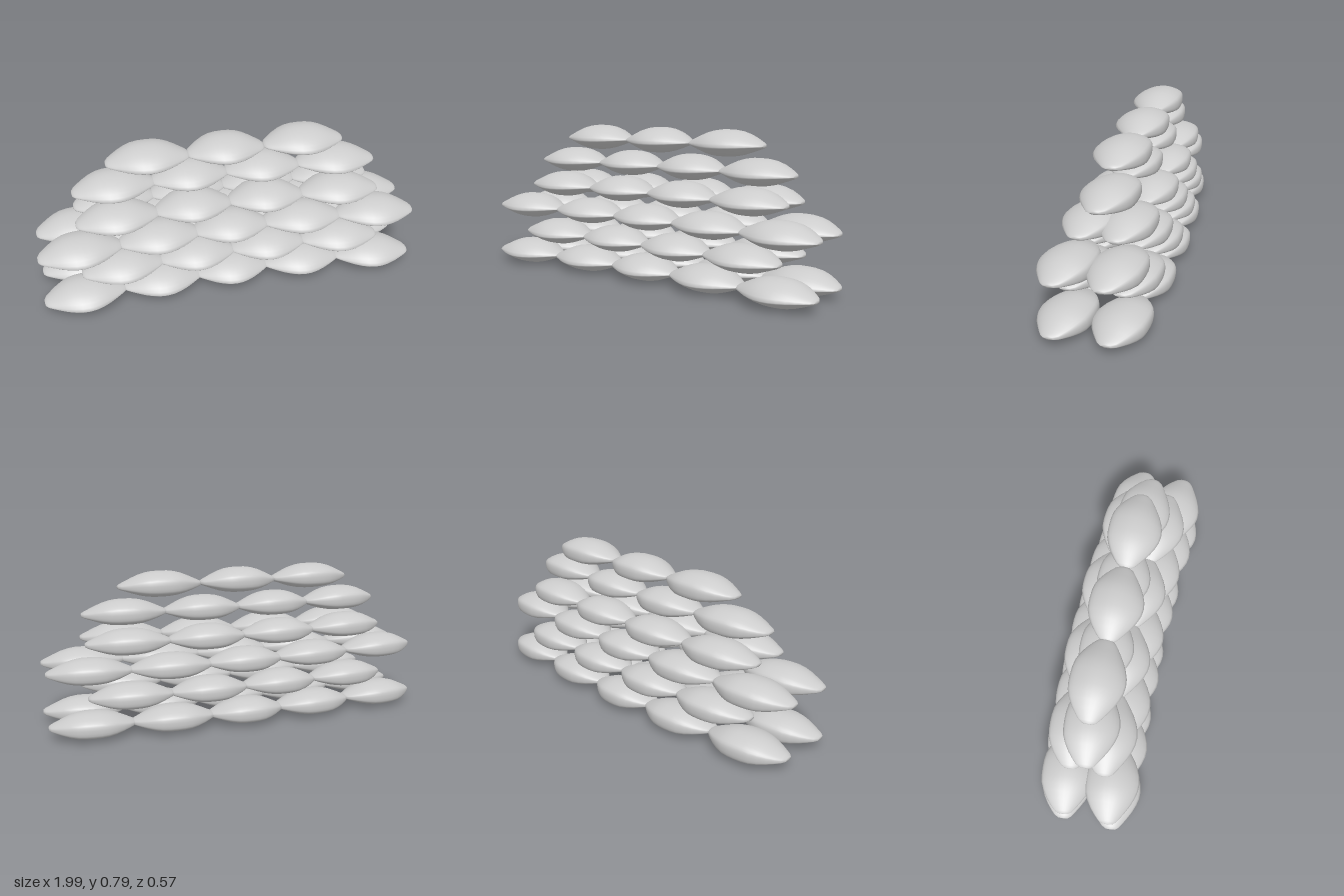
import * as THREE from 'three';

// Mid cross-section of a bag as [z, y]: pointed front, blunt back
const SECTION = [
  [0.135, -0.014], [0.11, 0.018], [0.07, 0.043], [0.02, 0.06], [-0.035, 0.065],
  [-0.085, 0.055], [-0.122, 0.038], [-0.134, 0.02], [-0.135, -0.01], [-0.128, -0.034],
  [-0.08, -0.053], [-0.02, -0.064], [0.03, -0.065], [0.08, -0.046], [0.115, -0.028],
];

// Stations from the middle to a tip: [x, front width, back width, height]
const HALF = [
  [0, 1, 1, 1], [0.035, 0.97, 0.99, 0.99], [0.07, 0.88, 0.95, 0.92], [0.105, 0.75, 0.84, 0.78],
  [0.14, 0.58, 0.68, 0.57], [0.17, 0.42, 0.5, 0.37], [0.19, 0.3, 0.36, 0.24], [0.202, 0.17, 0.2, 0.13],
];

function bagGeometry() {
  const curve = new THREE.CatmullRomCurve3(
    SECTION.map(([z, y]) => new THREE.Vector3(0, y, z)), true, 'centripetal');
  const ring = curve.getPoints(30).slice(0, 30);
  const n = ring.length;
  const stations = [...HALF.slice(1).reverse().map(([x, ...r]) => [-x, ...r]), ...HALF];
  const pos = [], index = [];
  for (const [x, front, back, h] of stations) {
    const droop = -0.01 * (1 - h);
    for (const p of ring) pos.push(x, p.y * h + droop, p.z * (p.z > 0 ? front : back));
  }
  // Skin between stations
  for (let i = 0; i < stations.length - 1; i++) {
    for (let j = 0; j < n; j++) {
      const k = (j + 1) % n;
      const a = i * n + j, b = i * n + k, c = a + n, d = b + n;
      index.push(a, c, b, b, c, d);
    }
  }
  // Closed tips
  const last = (stations.length - 1) * n;
  const tip = stations[stations.length - 1][0];
  const c0 = pos.length / 3;
  pos.push(-tip - 0.002, -0.009, 0, tip + 0.002, -0.009, 0);
  for (let j = 0; j < n; j++) {
    const k = (j + 1) % n;
    index.push(c0, j, k, c0 + 1, last + k, last + j);
  }
  const g = new THREE.BufferGeometry();
  g.setAttribute('position', new THREE.Float32BufferAttribute(pos, 3));
  g.setIndex(index);
  g.computeVertexNormals();
  return g;
}

// Each layer: bag centres along x, and the depth of each row at x = 0
const FIVE = [-0.785, -0.38, 0, 0.385, 0.785];
const FOUR = [-0.58, -0.19, 0.195, 0.59];
const LAYERS = [
  { xs: FIVE, rows: [0.108, -0.15] },
  { xs: FOUR, rows: [0.112, -0.145] },
  { xs: FIVE, rows: [0.095, -0.13] },
  { xs: FOUR, rows: [0.055, -0.115] },
  { xs: FOUR, rows: [-0.032] },
  { xs: [-0.4, 0, 0.41], rows: [-0.023] },
];

export function createModel() {
  const model = new THREE.Group();
  model.name = 'sandbagWall';
  const cloth = new THREE.MeshStandardMaterial({ color: 0xcccccc });
  cloth.name = 'pale grey cloth';
  const geometry = bagGeometry();
  const bend = 0.065; // the wall bows gently towards the front at both ends

  LAYERS.forEach(({ xs, rows }, level) => {
    const layer = new THREE.Group();
    layer.name = `layer${level + 1}`;
    layer.position.y = 0.066 + level * 0.132;
    rows.forEach((z, r) => {
      xs.forEach((x, i) => {
        const bag = new THREE.Mesh(geometry, cloth);
        bag.name = `${r ? 'back' : 'front'}Sandbag${i + 1}`;
        const k = level === 5 ? 0.01 : bend;
        bag.position.set(x, 0, z + k * x * x);
        bag.rotation.y = -Math.atan(2 * k * x);
        bag.scale.x = Math.abs(x) > 0.3 ? 1.04 : 0.99;
        layer.add(bag);
      });
    });
    model.add(layer);
  });
  return model;
}
